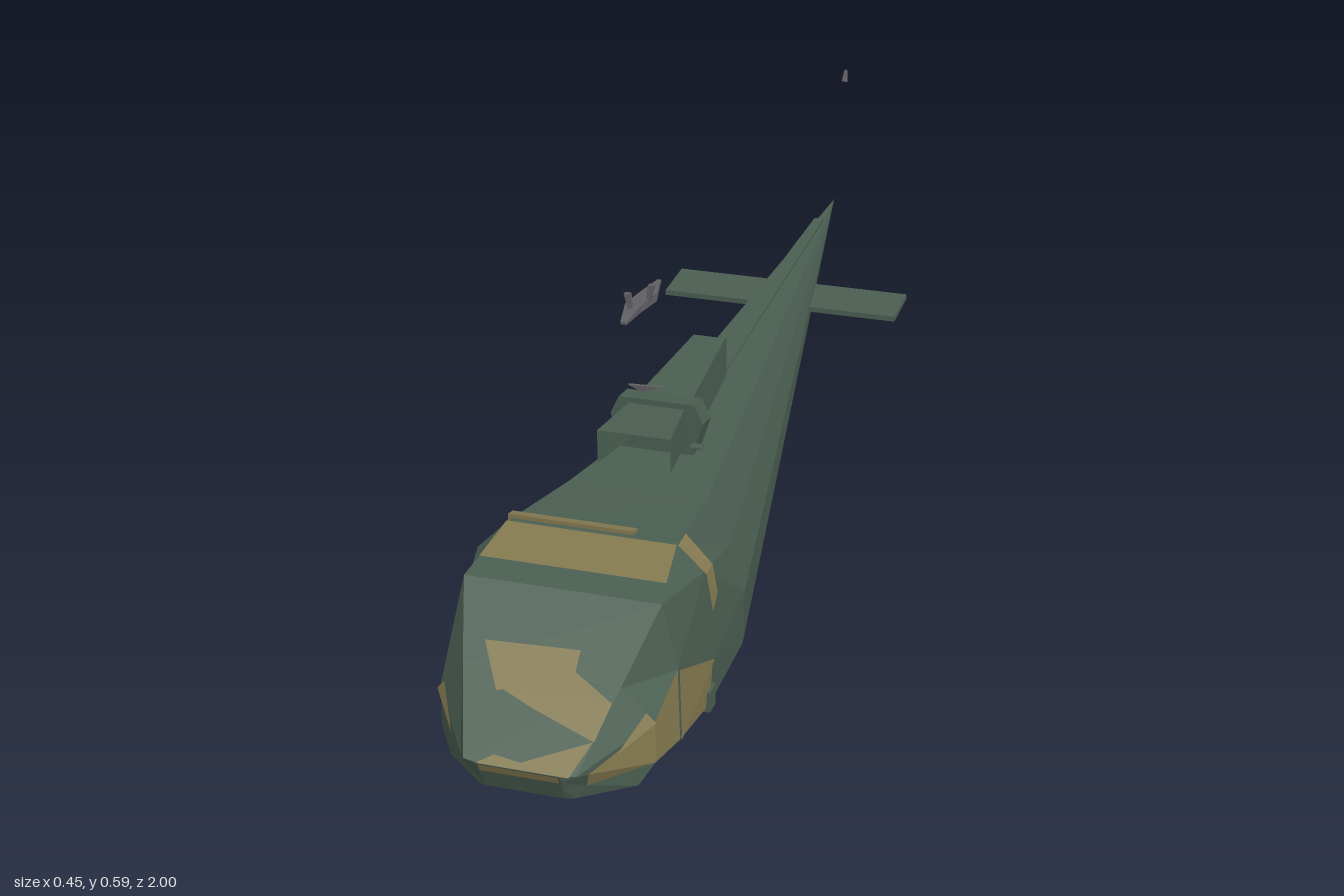
import * as THREE from 'three';

const mat = (name, color, extra = {}) => {
  const m = new THREE.MeshStandardMaterial({ color, ...extra });
  m.name = name;
  return m;
};

// Skin a list of rings (front to back, each running clockwise seen from the front).
// pick(section, side) returns the material index; the caps use index 0.
function loft(rings, pick = () => 0) {
  const n = rings[0].length, buckets = [[], []];
  const tri = (k, ...pts) => pts.forEach(p => buckets[k].push(...p));
  for (let i = 0; i < rings.length - 1; i++) {
    for (let j = 0; j < n; j++) {
      const a = rings[i][j], b = rings[i][(j + 1) % n];
      const c = rings[i + 1][(j + 1) % n], d = rings[i + 1][j], k = pick(i, j);
      tri(k, a, b, c);
      tri(k, a, c, d);
    }
  }
  const f = rings[0], l = rings[rings.length - 1];
  for (let j = 1; j < n - 1; j++) {
    tri(0, f[0], f[j + 1], f[j]);
    tri(0, l[0], l[j], l[j + 1]);
  }
  const g = new THREE.BufferGeometry();
  g.setAttribute('position', new THREE.Float32BufferAttribute([...buckets[0], ...buckets[1]], 3));
  g.addGroup(0, buckets[0].length / 3, 0);
  g.addGroup(buckets[0].length / 3, buckets[1].length / 3, 1);
  g.computeVertexNormals();
  return g;
}

// Four-sided ring: x range and y range at one z
const rect = (z, x0, x1, y0, y1) => [[x0, y0, z], [x0, y1, z], [x1, y1, z], [x1, y0, z]];
// Ring at one z from x, y points
const ring = (z, pts) => pts.map(([x, y]) => [x, y, z]);
// Ring from the right half, mirrored to both sides
const mirrorRing = half => [...half.map(([x, y, z]) => [-x, y, z]), ...[...half].reverse()];

export function createModel() {
  const green = mat('dark green', 0x4b5f52);
  const tan = mat('camouflage tan', 0x857a50);
  const grey = mat('hub grey', 0x606064);
  const greenThin = mat('panel green', 0x4b5f52, { side: THREE.DoubleSide });
  const root = new THREE.Group();
  const add = (name, geo, material, parent = root) => {
    const m = new THREE.Mesh(geo, material);
    m.name = name;
    parent.add(m);
    return m;
  };
  // Flat tan patch from 3D outline points, fanned around the first point
  const patch = (name, pts) => {
    const v = [];
    for (let i = 1; i < pts.length - 1; i++) v.push(...pts[0], ...pts[i], ...pts[i + 1]);
    const g = new THREE.BufferGeometry();
    g.setAttribute('position', new THREE.Float32BufferAttribute(v, 3));
    g.computeVertexNormals();
    return add(name, g, tan);
  };

  // Fuselage: faceted nose, cabin, then a long cone to the tail tip.
  // The belly behind the cabin slopes up towards the right flank.
  const tip = [0, 0.235, -0.89];
  const fuselage = [
    mirrorRing([[0.06, 0.045, 0.98], [0.061, 0.07, 0.99], [0.062, 0.085, 0.996], [0.06, 0.095, 1.0]]),
    mirrorRing([[0.075, 0.043, 0.972], [0.09, 0.065, 0.968], [0.097, 0.092, 0.978], [0.085, 0.098, 0.997]]),
    mirrorRing([[0.145, 0.03, 0.9], [0.165, 0.06, 0.88], [0.165, 0.13, 0.88], [0.12, 0.19, 0.897]]),
    mirrorRing([[0.14, 0.004, 0.8], [0.178, 0.05, 0.8], [0.175, 0.17, 0.8], [0.152, 0.277, 0.8]]),
    ring(0.65, [[-0.155, 0.01], [-0.187, 0.06], [-0.19, 0.235], [-0.135, 0.292],
      [0.13, 0.292], [0.172, 0.25], [0.185, 0.1], [0.18, 0.018]]),
    ring(0.48, [[-0.188, 0.1], [-0.195, 0.13], [-0.17, 0.2], [-0.1, 0.275],
      [0.125, 0.272], [0.163, 0.2], [0.188, 0.12], [0.185, 0.025]]),
    ring(0.25, [[-0.097, 0.125], [-0.1, 0.155], [-0.09, 0.2], [-0.05, 0.268],
      [0.104, 0.266], [0.136, 0.206], [0.156, 0.139], [0.154, 0.06]]),
    Array.from({ length: 8 }, () => tip),
  ];
  // Tan sides (0 lower right, 1 right, 5 left, 6 lower left, 7 belly) for each section
  const tanSides = [[], [5], [0, 1, 5, 6, 7], [0, 6], [0, 7], [], []];
  add('fuselage', loft(fuselage, (i, j) => (tanSides[i].includes(j) ? 1 : 0)), [green, tan]);

  // Tan lower panel bulging from the right flank, closing to a point at its rear
  add('rightLowerPanel', loft([
    ring(0.87, [[-0.14, 0.025], [-0.167, 0.06], [-0.168, 0.12], [-0.16, 0.14]]),
    ring(0.81, [[-0.14, 0.002], [-0.181, 0.05], [-0.186, 0.12], [-0.172, 0.165]]),
    ring(0.65, [[-0.155, 0.008], [-0.19, 0.06], [-0.203, 0.13], [-0.188, 0.17]]),
    ring(0.47, [[-0.188, 0.098], [-0.199, 0.11], [-0.205, 0.13], [-0.185, 0.16]]),
  ]), tan);
  // Tan wedge on the left flank
  patch('leftFlankPatch', [[0.178, 0.17, 0.8], [0.181, 0.05, 0.8], [0.188, 0.1, 0.65]]);

  // Tan patches on both nose cheeks, hugging the facets behind the nose corners
  const lerp = (a, b, t) => a.map((v, i) => v + (b[i] - v) * t);
  const lift = s => p => [p[0] + s * 0.003, p[1], p[2] + 0.003];
  const [, nose, cheek] = fuselage;
  patch('rightCheekPatch', [lerp(cheek[2], nose[2], 0.7), lerp(cheek[2], cheek[3], 0.3), cheek[2]].map(lift(-1)));
  patch('rightLowerCheekPatch', [lerp(cheek[2], nose[1], 0.5), lerp(cheek[2], nose[2], 0.7), cheek[2]].map(lift(-1)));
  patch('leftCheekPatch', [cheek[5], lerp(cheek[5], cheek[4], 0.3), lerp(cheek[5], nose[5], 0.6)].map(lift(1)));

  // Camouflage patches on the sloping windscreen
  const onScreen = pts => pts.map(([x, y]) => [x, y, 1.004 - (y - 0.095) * 1.085]).reverse();
  patch('upperScreenPatch', onScreen([[-0.01, 0.19], [-0.05, 0.172], [-0.06, 0.17], [-0.095, 0.218],
    [0.05, 0.222], [0.05, 0.2], [0.113, 0.175], [0.1, 0.135], [0, 0.158], [-0.05, 0.172]]));
  patch('lowerScreenPatch', onScreen([[0, 0.097], [-0.065, 0.097], [-0.04, 0.108], [0, 0.104],
    [0.098, 0.135], [0.075, 0.097]]));
  patch('nosePatch', [[-0.06, 0.084], [0.06, 0.084], [0.06, 0.097], [-0.06, 0.097]]
    .map(([x, y]) => [x, y, 0.966 + 0.4 * y]));

  // Tan band across the roof, with a lip at its rear
  const roofY = z => 0.281 + (0.8 - z) * 0.1;
  patch('roofBand', [[-0.145, roofY(0.755), 0.755], [0.145, roofY(0.755), 0.755],
    [0.132, roofY(0.66), 0.66], [-0.137, roofY(0.66), 0.66]]);
  add('roofLip', loft([rect(0.645, -0.14, 0.06, 0.285, 0.298), rect(0.625, -0.14, 0.06, 0.28, 0.293)]), tan);
  // Tan patches on the upper left shoulder of the cabin
  patch('shoulderPatch', [[0.134, 0.295, 0.66], [0.178, 0.252, 0.66], [0.176, 0.247, 0.62], [0.134, 0.293, 0.62]]);
  patch('doorTopPatch', [[0.178, 0.252, 0.66], [0.184, 0.18, 0.645], [0.184, 0.2, 0.62], [0.176, 0.247, 0.62]]);
  // Loose panel edge at the door sill
  add('doorEdge', loft([rect(0.67, 0.165, 0.186, 0.015, 0.05), rect(0.64, 0.165, 0.186, 0.012, 0.05)]), green);

  // Engine housing: open hood, wide collar, tapering rear fairing
  const engine = new THREE.Group();
  engine.name = 'engineHousing';
  root.add(engine);
  const hood = new THREE.BufferGeometry();
  const hoodFront = ring(0.455, [[-0.06, 0.3], [-0.06, 0.358], [0.06, 0.358], [0.06, 0.3]]);
  const hoodRear = ring(0.33, [[-0.046, 0.285], [-0.046, 0.35], [0.046, 0.35], [0.046, 0.285]]);
  const hv = [];
  for (let j = 0; j < 3; j++) {
    const p = [hoodFront[j], hoodFront[j + 1], hoodRear[j + 1], hoodRear[j]];
    [0, 1, 2, 0, 2, 3].forEach(k => hv.push(...p[k]));
  }
  hood.setAttribute('position', new THREE.Float32BufferAttribute(hv, 3));
  hood.computeVertexNormals();
  add('intakeHood', hood, greenThin, engine);
  const collar = (z, d) => mirrorRing([[0.06, 0.27 - d, z], [0.078, 0.328 - d, z], [0.063, 0.36 - d, z]]);
  add('collar', loft([collar(0.335, 0), collar(0.29, 0.008)]), green, engine);
  add('rearFairing', loft([rect(0.29, -0.045, 0.045, 0.262, 0.345),
    rect(0.03, -0.028, 0.028, 0.25, 0.337), rect(0.01, -0.025, 0.025, 0.25, 0.325)]), green, engine);

  // Shaft cover along the top of the tail
  add('shaftCover', loft([rect(0.02, -0.022, 0.022, 0.25, 0.263),
    rect(-0.76, -0.009, 0.009, 0.236, 0.244)]), green);

  // Tailplane
  const tailplane = add('tailplane', new THREE.BoxGeometry(0.45, 0.01, 0.108), green);
  tailplane.position.set(0, 0.189, -0.498);

  // Small fittings beside the engine
  add('rightAerial', loft([rect(0.38, -0.086, -0.077, 0.302, 0.304), rect(0.36, -0.08, -0.077, 0.302, 0.315)]), green);
  add('leftAerial', loft([rect(0.385, 0.07, 0.09, 0.309, 0.312), rect(0.37, 0.07, 0.09, 0.309, 0.312)]), green);

  // Rotor hub: flat spindle with two upright grips
  const hub = new THREE.Group();
  hub.name = 'rotorHub';
  root.add(hub);
  add('spindle', loft([rect(0.48, -0.01, 0, 0.558, 0.562), rect(0.42, -0.022, 0.004, 0.553, 0.565),
    rect(0.37, -0.012, 0.014, 0.552, 0.566), rect(0.315, -0.002, 0.004, 0.561, 0.564)]), grey, hub);
  [0.435, 0.395].forEach((z, i) => {
    const s = i ? 1 : -1, foot = s * 0.008 - 0.001, top = s * 0.013 - 0.001;
    const grip = zz => ring(zz, [[foot - 0.003, 0.56], [top - 0.005, 0.588], [top + 0.005, 0.588], [foot + 0.003, 0.56]]);
    add('grip', loft([grip(z), grip(z - 0.008)]), grey, hub);
  });

  // Mast plate and tail rotor hub
  const plate = z => [[-0.007, 0.4, z], [-0.03, 0.41, z], [0.025, 0.412, z]];
  add('mastPlate', loft([plate(0.388), plate(0.383)]), grey);
  add('tailRotorHub', loft([
    ring(-0.96, [[-0.006, 0.466], [-0.005, 0.468], [-0.004, 0.466]]),
    ring(-0.985, [[0.001, 0.456], [-0.007, 0.48], [-0.003, 0.464]]),
    ring(-1, [[-0.004, 0.472], [-0.005, 0.478], [-0.003, 0.474]]),
  ]), grey);

  return root;
}
